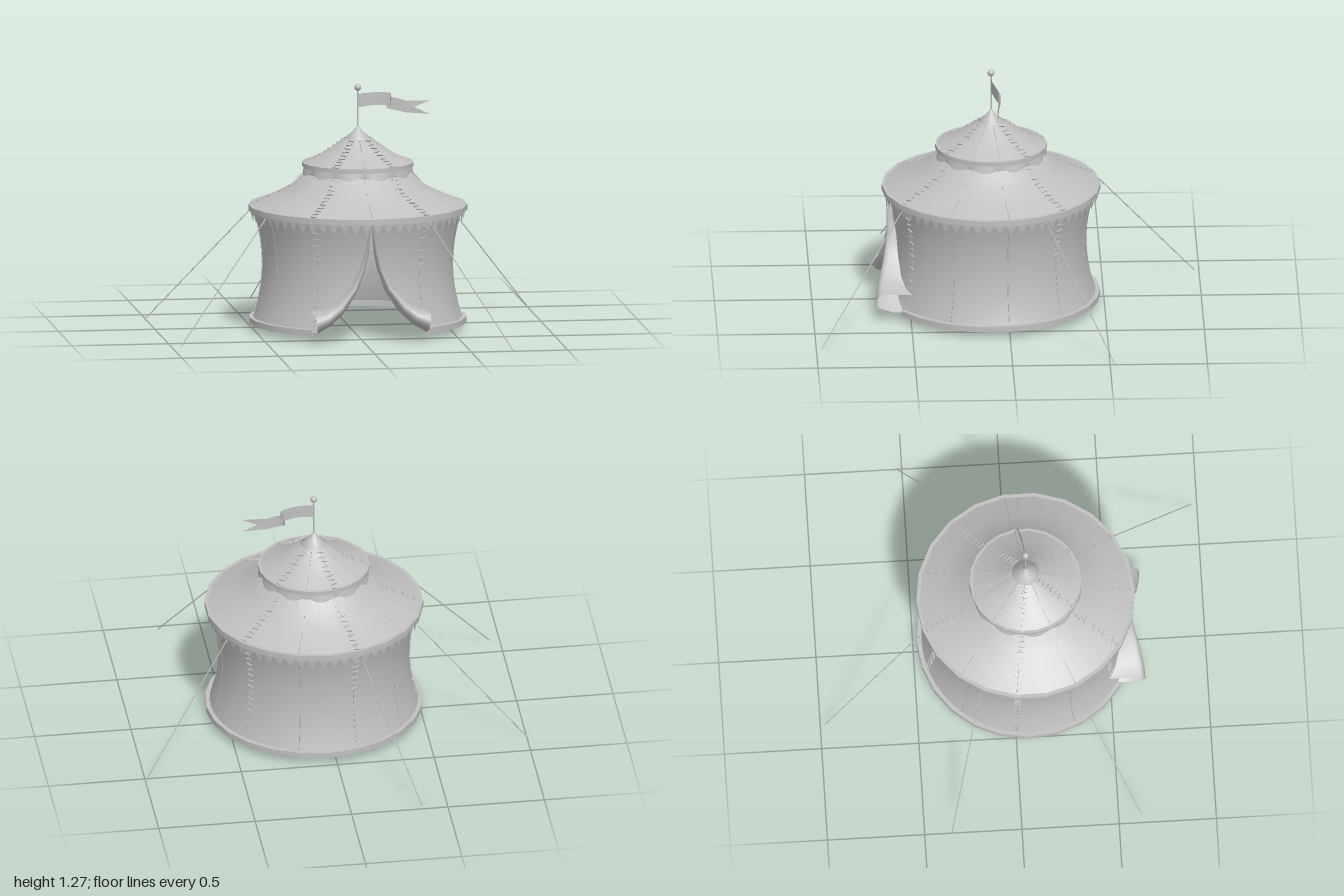
import * as THREE from 'three';
import { toCreasedNormals } from 'three/addons/utils/BufferGeometryUtils.js';

const V = (x, y, z) => new THREE.Vector3(x, y, z);
const PANELS = 11, STEP = Math.PI * 2 / PANELS;
const STITCHED = [1, 4, 6, 8, 10];
const polar = (r, y, a) => V(r * Math.sin(a), y, r * Math.cos(a));

// waisted wall: radius at a height
const wallRadius = y => 0.49 + 0.6 * (y - 0.34) ** 2;

// profiles (radius, height)
const ROOF = [[0.555, 0.64], [0.44, 0.69], [0.34, 0.742], [0.27, 0.81]];
const CAP = [[0.285, 0.86], [0.2, 0.897], [0.13, 0.942], [0.07, 0.987]];
const WALL = Array.from({ length: 9 }, (_, i) => {
  const y = 0.06 + i * 0.069;
  return [wallRadius(y), y];
});

// door edge and folded flap: inner x, inner y, outer x, outer y, front z
const FLAP = [
  [0.0, 0.61, 0.004, 0.615, 0.54],
  [0.01, 0.47, 0.03, 0.475, 0.537],
  [0.03, 0.38, 0.055, 0.385, 0.537],
  [0.07, 0.27, 0.1, 0.29, 0.555],
  [0.14, 0.16, 0.18, 0.205, 0.58],
  [0.21, 0.095, 0.245, 0.165, 0.595],
  [0.285, 0.05, 0.3, 0.15, 0.6],
];

function doorHalfWidth(y) {
  for (let i = 1; i < FLAP.length; i++) {
    const [x0, y0] = FLAP[i - 1], [x1, y1] = FLAP[i];
    if (y >= y1) return x0 + (x1 - x0) * Math.min(1, Math.max(0, (y0 - y) / (y0 - y1)));
  }
  return 0.285;
}

// surface through rows of points
function grid(rows) {
  const n = rows[0].length, index = [];
  for (let i = 0; i < rows.length - 1; i++)
    for (let j = 0; j < n - 1; j++) {
      const a = i * n + j, b = a + 1, c = a + n, d = c + 1;
      index.push(a, b, c, b, d, c);
    }
  const g = new THREE.BufferGeometry().setFromPoints(rows.flat());
  g.setIndex(index);
  g.computeVertexNormals();
  return g;
}

// loose triangles, three points each
function triangles(points) {
  const g = new THREE.BufferGeometry().setFromPoints(points);
  g.computeVertexNormals();
  return g;
}

const lathe = (pts, seg = 22, start = 0, length = Math.PI * 2) =>
  new THREE.LatheGeometry(pts.map(p => new THREE.Vector2(p[0], p[1])), seg, start, length);

function hoop(r0, r1, y0, y1, seg = 22, start = 0, length = Math.PI * 2) {
  const g = lathe([[r0, y0], [r1, y0], [r1, y1], [r0, y1], [r0, y0]], seg, start, length);
  return toCreasedNormals(g, 0.6);
}

function teeth(count, rTop, yTop, rTip, yTip) {
  const pts = [], s = Math.PI * 2 / count;
  for (let i = 0; i < count; i++)
    pts.push(polar(rTop, yTop, i * s), polar(rTip, yTip, (i + 0.5) * s), polar(rTop, yTop, (i + 1) * s));
  return triangles(pts);
}

export function createModel() {
  const model = new THREE.Group();
  const tent = new THREE.Group();
  tent.name = 'tent';
  tent.position.set(0.04, 0, 0.08);
  model.add(tent);
  const canvas = new THREE.MeshStandardMaterial({ color: 0xc0c0c0, side: THREE.DoubleSide });
  canvas.name = 'grey canvas';
  const add = (name, geometry, parent = tent) => {
    const mesh = new THREE.Mesh(geometry, canvas);
    mesh.name = name;
    parent.add(mesh);
    return mesh;
  };

  // wall with a door opening at the front
  const rows = [];
  for (let i = 0; i <= 20; i++) {
    const y = 0.05 + 0.57 * i / 20, r = wallRadius(y);
    const a = Math.asin(doorHalfWidth(y) / r);
    rows.push(Array.from({ length: 45 }, (_, j) => polar(r, y, a + (Math.PI * 2 - 2 * a) * j / 44)));
  }
  add('wall', grid(rows));
  add('bottomHem', hoop(0.535, 0.56, 0.035, 0.065, 20, STEP, Math.PI * 2 - 2 * STEP));

  // folded door flaps
  for (const s of [1, -1]) {
    const strips = FLAP.map(([xi, yi, xo, yo, z]) => {
      const onWall = (x, y) => Math.sqrt(wallRadius(y) ** 2 - x * x);
      const xm = (xi + xo) / 2, ym = (yi + yo) / 2, h = yo - yi;
      return [
        V(s * xo, yo, onWall(xo, yo)), V(s * xo, yo, z - 0.025),
        V(s * (xm + 0.004), ym + h * 0.25, z - 0.004), V(s * xm, ym, z),
        V(s * (xi * 0.7 + xo * 0.3), ym - h * 0.25, z - 0.015),
        V(s * xi, yi, (z * 0.6 + onWall(xi, yi) * 0.4) - 0.03), V(s * xi, yi, onWall(xi, yi)),
      ];
    });
    add(s > 0 ? 'leftDoorFlap' : 'rightDoorFlap', grid(strips));
  }

  // lower roof with its rim and hanging teeth
  add('lowerRoof', lathe(ROOF));
  add('lowerRim', hoop(0.535, 0.562, 0.615, 0.645));
  add('lowerFringe', teeth(60, 0.552, 0.618, 0.545, 0.565));

  // collar, swagged valance and upper fringe
  add('collar', lathe([[0.268, 0.8], [0.268, 0.855]]));
  const swag = [0, 0.5, 1].map(t => Array.from({ length: 111 }, (_, j) => {
    const a = j / 110 * Math.PI * 2, w = Math.abs(Math.sin(a * PANELS / 2));
    return polar(0.276 + 0.012 * w * t, 0.852 - t * (0.025 + 0.025 * w), a);
  }));
  add('valance', grid(swag));
  add('upperFringe', teeth(30, 0.277, 0.808, 0.345, 0.752));

  // upper roof, peak, pole and ball
  add('upperRim', hoop(0.26, 0.287, 0.843, 0.865));
  add('upperRoof', toCreasedNormals(lathe(CAP), 0.25));
  add('peak', lathe([[0.05, 0.98], [0.073, 0.983], [0.03, 1.018], [0.004, 1.05]], 16));
  add('pole', new THREE.CylinderGeometry(0.004, 0.004, 0.22, 8)).position.y = 1.14;
  add('poleBall', new THREE.SphereGeometry(0.018, 16, 12)).position.y = 1.25;

  // swallow-tailed flag
  const flag = new THREE.Group();
  flag.name = 'flag';
  tent.add(flag);
  const cloth = [
    [0, 1.215, 1.145, 0], [0.05, 1.219, 1.152, -0.004], [0.1, 1.221, 1.155, -0.012],
    [0.17, 1.215, 1.148, -0.03], [0.178, 1.205, 1.14, -0.038], [0.155, 1.19, 1.132, -0.042],
    [0.2, 1.187, 1.122, -0.034], [0.25, 1.172, 1.11, -0.03],
  ];
  add('flagCloth', grid([1, 2].map(k => cloth.map(c => V(c[0], c[k], c[3])))), flag);
  const top = V(0.25, 1.172, -0.03), low = V(0.25, 1.11, -0.03), notch = V(0.295, 1.138, -0.025);
  add('flagTails', triangles([
    top, low, notch,
    top, notch, V(0.375, 1.17, -0.02),
    low, V(0.375, 1.1, -0.02), notch,
  ]), flag);

  // seams between panels, some with cross stitches
  const seams = new THREE.Group();
  seams.name = 'seams';
  tent.add(seams);
  const stitch = new THREE.BoxGeometry(0.034, 0.005, 0.007);
  [[WALL, 16], [ROOF, 11], [CAP, 9]].forEach(([profile, count], part) => {
    for (let k = 0; k < PANELS; k++) {
      if (part === 0 && k === 0) continue;
      const a = k * STEP;
      const curve = new THREE.CatmullRomCurve3(profile.map(p => polar(p[0], p[1], a)));
      add('seam', new THREE.TubeGeometry(curve, 10, 0.002, 4), seams);
      if (!STITCHED.includes(k)) continue;
      for (let i = 0; i < count; i++) {
        const t = (i + 0.5) / count;
        const m = add('stitch', stitch, seams);
        const up = curve.getTangentAt(t), side = V(Math.cos(a), 0, -Math.sin(a));
        const out = side.clone().cross(up);
        m.quaternion.setFromRotationMatrix(new THREE.Matrix4().makeBasis(side, up, out));
        m.rotateZ(i % 2 ? 0.2 : -0.2);
        m.position.copy(curve.getPointAt(t)).addScaledVector(out, 0.003);
      }
    }
  });

  // guy ropes: rim x, z then ground x, z
  [
    [0.53, -0.19, 1, -0.525], [0.35, 0.55, 0.72, 0.97], [-0.47, 0.31, -0.95, 0.615],
    [-0.46, -0.18, -1, -0.36], [-0.13, -0.47, -0.37, -0.975],
  ].forEach(([x0, z0, x1, z1]) => {
    const line = new THREE.LineCurve3(V(x0, 0.61, z0), V(x1, 0.005, z1));
    add('guyRope', new THREE.TubeGeometry(line, 1, 0.003, 6), model);
  });
  return model;
}
